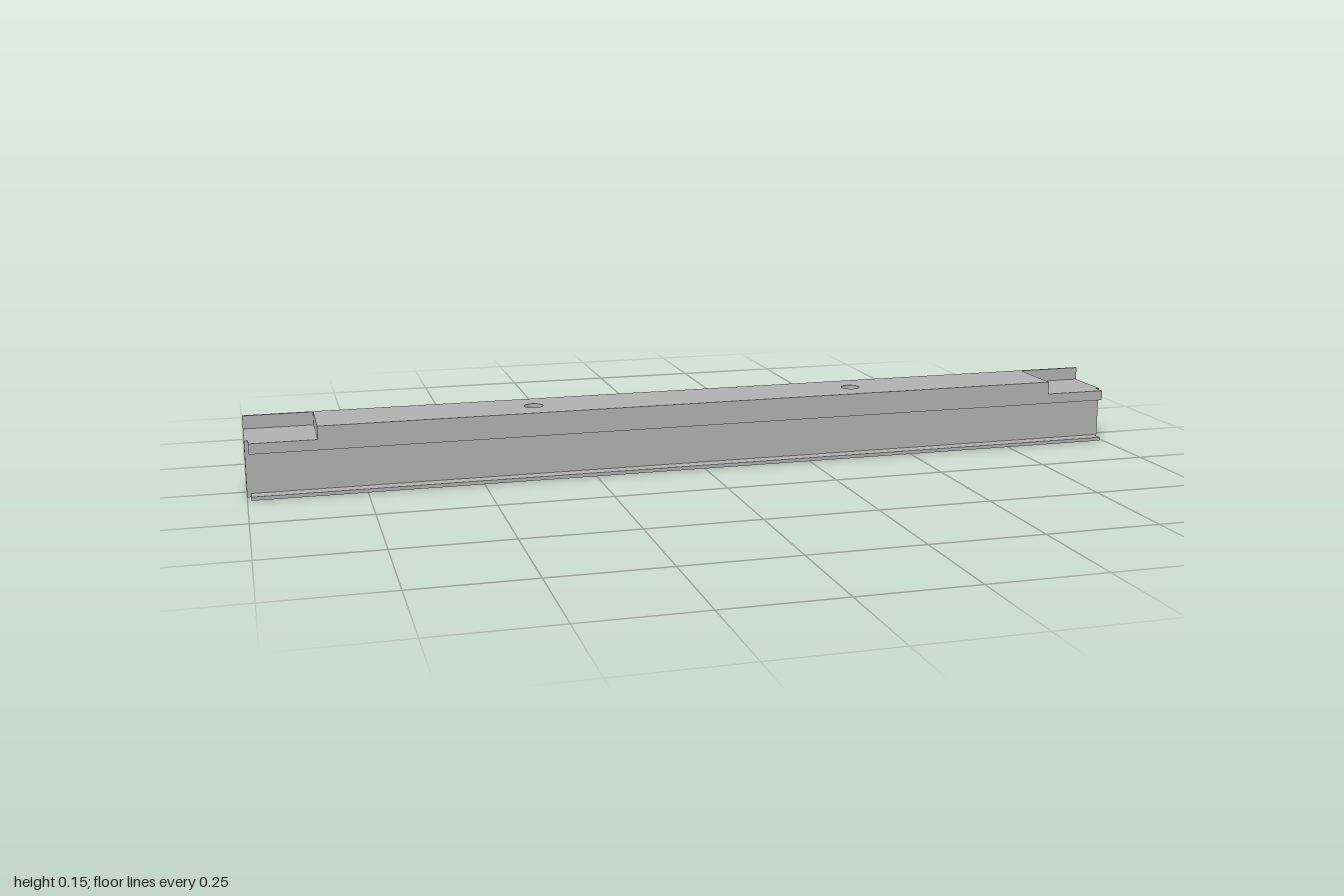
import * as THREE from 'three';

const HOLE_X = 0.375, HOLE_R = 0.021;
const BACK = -0.075, WEB = 0.045, FRONT = 0.075;
const SHELF = 0.123, TOP = 0.152;

export function createModel() {
  const group = new THREE.Group();
  const grey = new THREE.MeshStandardMaterial({ color: 0xb0b0b0 });
  grey.name = 'plain grey';

  const add = (name, geometry) => {
    const mesh = new THREE.Mesh(geometry, grey);
    mesh.name = name;
    group.add(mesh);
  };

  // Plan outline of [x, z] points, drilled by the two bolt holes, raised from y0 to y1
  const drilled = (name, points, y0, y1) => {
    const shape = new THREE.Shape(points.map(([x, z]) => new THREE.Vector2(x, -z)));
    for (const x of [-HOLE_X, HOLE_X]) {
      shape.holes.push(new THREE.Path().absarc(x, 0, HOLE_R, 0, Math.PI * 2, true));
    }
    const geometry = new THREE.ExtrudeGeometry(shape, { depth: y1 - y0, bevelEnabled: false, curveSegments: 32 });
    add(name, geometry.rotateX(-Math.PI / 2).translate(0, y0, 0));
  };

  // Long strip along the front of the bar
  const strip = (name, y0, y1) => {
    const geometry = new THREE.BoxGeometry(1.984, y1 - y0, FRONT - WEB);
    add(name, geometry.translate(0, (y0 + y1) / 2, (WEB + FRONT) / 2));
  };

  // Main bar
  drilled('mainBar', [[-1, WEB], [1, WEB], [1, BACK], [-1, BACK]], 0, SHELF);

  // Raised top slab, continuing as a thin back wall behind each end notch
  const wall = BACK + 0.006, end = 0.85;
  drilled('topSlab', [
    [-end, FRONT], [end, FRONT], [end, wall], [1, wall],
    [1, BACK], [-1, BACK], [-1, wall], [-end, wall],
  ], SHELF, TOP);

  // Front flange and thin bottom lip, forming the channel
  strip('upperFlange', 0.1, SHELF);
  strip('lowerLip', 0, 0.008);

  return group;
}
